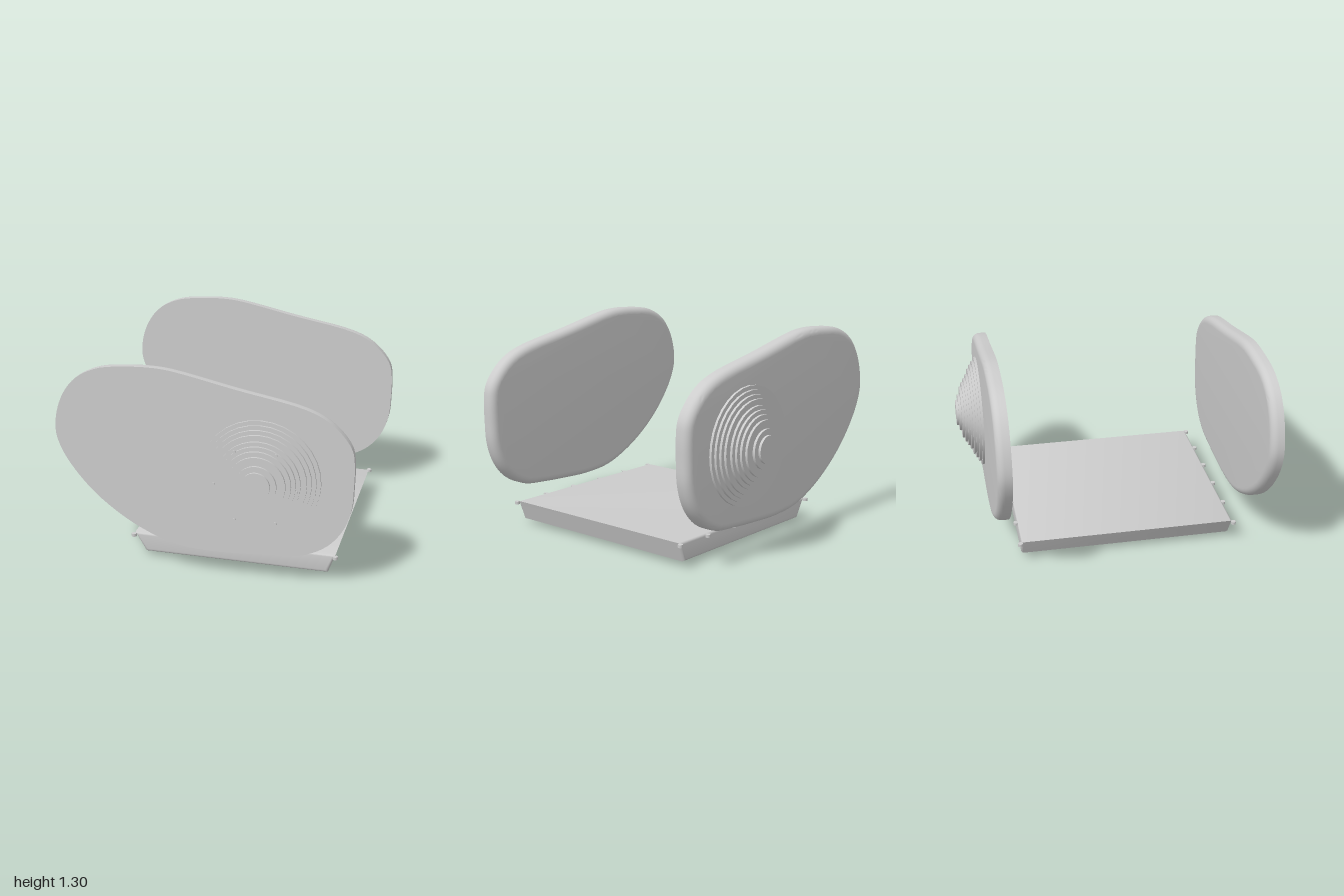
import * as THREE from 'three';
import { toCreasedNormals } from 'three/addons/utils/BufferGeometryUtils.js';

// Cover outline, counter-clockwise seen from +z
const OUTLINE = [
  [0.905, 0.68], [0.905, 0.818], [0.891, 0.905], [0.842, 0.983], [0.745, 1.07], [0.614, 1.129],
  [0.21, 1.212], [-0.187, 1.294], [-0.308, 1.303], [-0.43, 1.299], [-0.624, 1.274], [-0.76, 1.206],
  [-0.842, 1.109], [-0.891, 0.988], [-0.905, 0.862], [-0.876, 0.755], [-0.794, 0.619],
  [-0.648, 0.459], [-0.43, 0.303], [-0.187, 0.2], [0.03, 0.175], [0.25, 0.182], [0.47, 0.197],
  [0.614, 0.216], [0.755, 0.289], [0.847, 0.4], [0.895, 0.536],
];
const HUB = { x: 0.357, y: 0.682 };
const STEP_RADII = [0.36, 0.335, 0.31, 0.285, 0.25, 0.225, 0.2, 0.17, 0.12, 0.085];

// Plate with a flat +z face and a rounded rim on its -z face
function coverGeometry(zFront, zBack, round) {
  const curve = new THREE.CatmullRomCurve3(
    OUTLINE.map(([x, y]) => new THREE.Vector3(x, y, 0)), true, 'centripetal');
  const n = 120;
  const rim = [], inward = [];
  for (let i = 0; i < n; i++) {
    const t = curve.getTangent(i / n);
    rim.push(curve.getPoint(i / n));
    inward.push([-t.y, t.x]);
  }
  const rings = [[0, zFront]];
  for (let k = 0; k <= 6; k++) {
    const a = (k / 6) * Math.PI / 2;
    rings.push([round * (1 - Math.cos(a)), zBack + round * (1 - Math.sin(a))]);
  }
  const pos = [], index = [];
  for (const [inset, z] of rings) {
    rim.forEach((p, i) => pos.push(p.x + inward[i][0] * inset, p.y + inward[i][1] * inset, z));
  }
  for (let k = 0; k < rings.length - 1; k++) {
    for (let i = 0; i < n; i++) {
      const j = (i + 1) % n;
      const a = k * n + i, b = k * n + j, c = a + n, d = b + n;
      index.push(a, c, b, b, c, d);
    }
  }
  // Flat caps
  const last = (rings.length - 1) * n;
  for (const [a, b, c] of THREE.ShapeUtils.triangulateShape(rim, [])) {
    index.push(a, b, c, last + a, last + c, last + b);
  }
  const geo = new THREE.BufferGeometry();
  geo.setAttribute('position', new THREE.Float32BufferAttribute(pos, 3));
  geo.setIndex(index);
  return toCreasedNormals(geo, 0.6);
}

export function createModel() {
  const model = new THREE.Group();
  const grey = new THREE.MeshStandardMaterial({ color: 0xcccccc });
  grey.name = 'lightGrey';

  const add = (parent, name, geo, x = 0, y = 0, z = 0) => {
    const mesh = new THREE.Mesh(geo, grey);
    mesh.name = name;
    mesh.position.set(x, y, z);
    parent.add(mesh);
    return mesh;
  };

  // Stepped dome of stacked discs between two z values
  const addDome = (name, z0, z1) => {
    const dome = new THREE.Group();
    dome.name = name;
    const h = (z1 - z0) / STEP_RADII.length;
    STEP_RADII.forEach((r, i) => {
      const disc = new THREE.CylinderGeometry(r, r, Math.abs(h), 32).rotateX(Math.PI / 2);
      add(dome, 'domeStep', disc, HUB.x, HUB.y, z0 + h * (i + 0.5));
    });
    model.add(dome);
  };

  // Side covers
  add(model, 'frontCover', coverGeometry(0.852, 0.77, 0.045));
  add(model, 'backCover', coverGeometry(-0.757, -0.844, 0.045));
  addDome('frontDome', 0.852, 0.983);
  addDome('backDome', -0.844, -1);

  // Ring of small studs in front of the front dome
  for (let i = 0; i < 6; i++) {
    const a = i * Math.PI / 3;
    const stud = new THREE.CylinderGeometry(0.009, 0.009, 0.008, 10).rotateX(Math.PI / 2);
    add(model, 'coverStud', stud, HUB.x + 0.243 * Math.cos(a), HUB.y + 0.243 * Math.sin(a), 0.996);
  }

  // Pan: tapered section with rounded ends
  const section = new THREE.Shape([[-0.415, 0.032], [0.74, 0.032], [0.785, 0.156], [-0.485, 0.156]]
    .map(([x, y]) => new THREE.Vector2(x, y)));
  const r = 0.02;
  const pan = new THREE.ExtrudeGeometry(section, {
    depth: 1.37 - 2 * r, bevelEnabled: true, bevelThickness: r, bevelSize: r,
    bevelOffset: -r, bevelSegments: 4,
  });
  add(model, 'pan', toCreasedNormals(pan, 0.6), 0, 0, -0.682 + r);

  // Pan bolts along both long edges
  for (const z of [-0.69, 0.695]) {
    for (let i = 0; i < 6; i++) {
      add(model, 'panBolt', new THREE.CylinderGeometry(0.016, 0.016, 0.018, 12),
        -0.487 + i * 0.2544, 0.143, z);
    }
  }

  // Hexagonal drain plug
  const plug = new THREE.CylinderGeometry(0.037, 0.037, 0.034, 6).rotateY(Math.PI / 6);
  add(model, 'drainPlug', toCreasedNormals(plug, 0.5), 0.15, 0.017, 0.004);

  return model;
}
